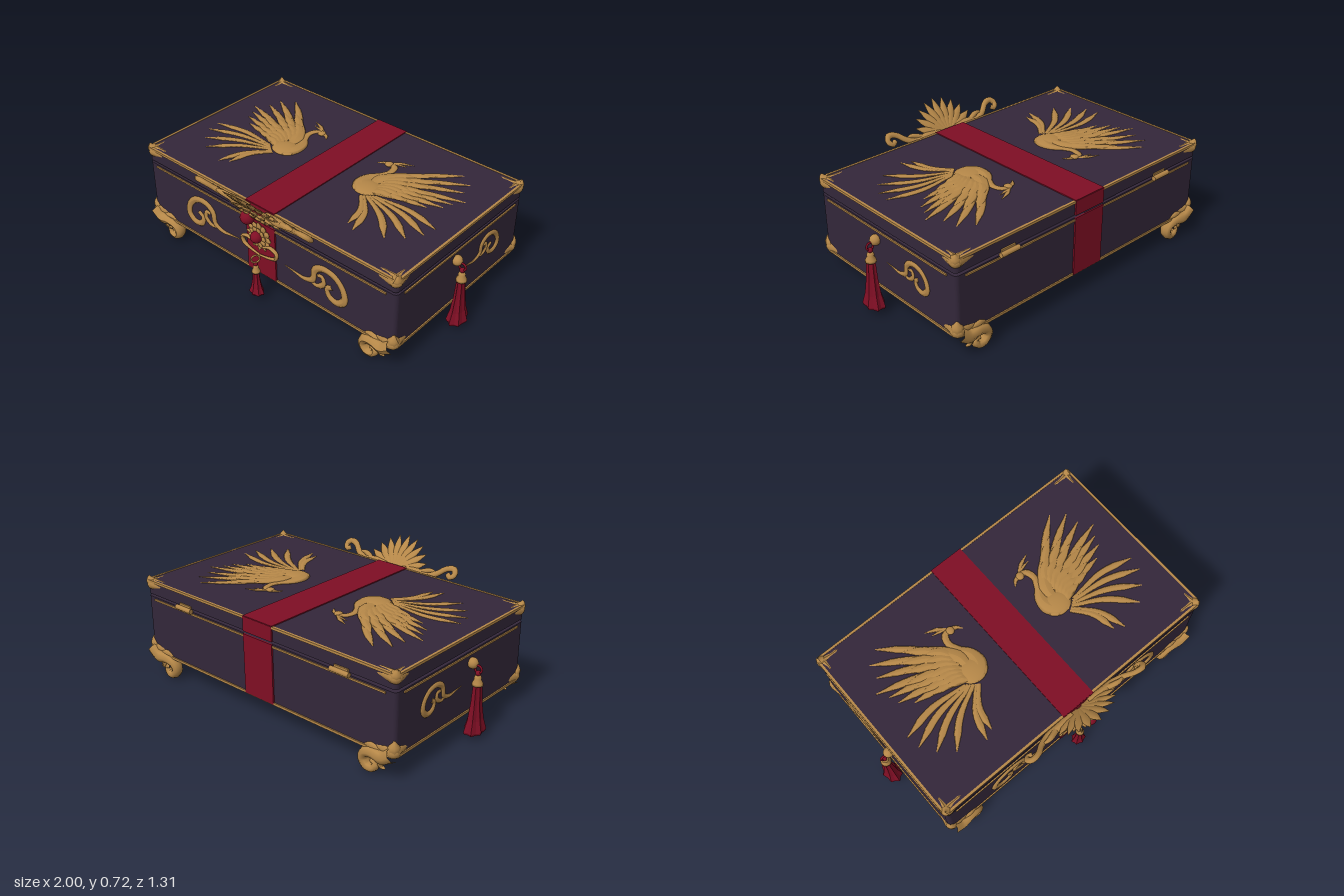
import * as THREE from 'three';

const material = (name, color) => {
  const m = new THREE.MeshStandardMaterial({ color });
  m.name = name;
  return m;
};

export function createModel() {
  const lacquer = material('dark plum lacquer', 0x33273a);
  const gold = material('antique gold', 0xb58748);
  const red = material('crimson silk', 0x7f0e24);
  const model = new THREE.Group();
  model.name = 'ornateBox';
  const W = 0.9, FRONT = 0.48, BACK = -0.62, MID = -0.07;

  function add(parent, name, geo, mat, x = 0, y = 0, z = 0) {
    const mesh = new THREE.Mesh(geo, mat);
    mesh.name = name;
    mesh.position.set(x, y, z);
    parent.add(mesh);
    return mesh;
  }
  function group(name, x = 0, y = 0, z = 0, parent = model) {
    const g = new THREE.Group();
    g.name = name;
    g.position.set(x, y, z);
    parent.add(g);
    return g;
  }
  const box = (parent, name, mat, w, h, d, x, y, z) =>
    add(parent, name, new THREE.BoxGeometry(w, h, d), mat, x, y, z);

  // Tapered tube through points; s mirrors x, flat squashes z, lift offsets z
  function sweep(parent, name, pts, radii, { s = 1, flat = 1, lift = 0, seg = 14, mat = gold } = {}) {
    const curve = new THREE.CatmullRomCurve3(pts.map(p => new THREE.Vector3(p[0] * s, p[1], p[2] || 0)));
    const geo = new THREE.TubeGeometry(curve, seg, 1, 8, false);
    const pos = geo.attributes.position, v = new THREE.Vector3();
    for (let i = 0; i <= seg; i++) {
      const c = curve.getPointAt(i / seg);
      const t = i / seg * (radii.length - 1), k = Math.min(Math.floor(t), radii.length - 2);
      const r = THREE.MathUtils.lerp(radii[k], radii[k + 1], t - k);
      for (let j = 0; j <= 8; j++) {
        const n = i * 9 + j;
        v.fromBufferAttribute(pos, n).sub(c).multiplyScalar(r).add(c);
        pos.setXYZ(n, v.x, v.y, v.z * flat);
      }
    }
    geo.computeVertexNormals();
    return add(parent, name, geo, mat, 0, 0, lift);
  }

  // Slabs with softened vertical corners
  function slab(name, y0, y1) {
    const r = 0.025, a = W - r, d = (FRONT - BACK) / 2, b = d - r;
    const sh = new THREE.Shape();
    sh.moveTo(-a, -d);
    sh.lineTo(a, -d); sh.absarc(a, -b, r, -Math.PI / 2, 0);
    sh.absarc(a, b, r, 0, Math.PI / 2);
    sh.absarc(-a, b, r, Math.PI / 2, Math.PI);
    sh.absarc(-a, -b, r, Math.PI, Math.PI * 1.5);
    const geo = new THREE.ExtrudeGeometry(sh, { depth: y1 - y0, bevelEnabled: false, curveSegments: 5 });
    geo.rotateX(-Math.PI / 2);
    add(model, name, geo, lacquer, 0, y0, MID);
  }
  slab('body', 0.13, 0.478);
  slab('lid', 0.493, 0.575);

  // Gold rails round all four faces
  for (const [name, y, inset, h] of [['baseRail', 0.135, 0.02, 0.014], ['bodyRail', 0.464, 0.06, 0.01], ['lidRail', 0.57, 0.02, 0.014]]) {
    for (const z of [FRONT, BACK]) box(model, name, gold, 2 * (W - inset), h, 0.014, 0, y, z);
    for (const x of [-W, W]) box(model, name, gold, 0.014, h, FRONT - BACK - 2 * inset, x, y, MID);
  }

  // Silk band over the lid, front and back
  box(model, 'bandTop', red, 0.21, 0.006, FRONT - BACK + 0.014, 0, 0.578, MID);
  for (const z of [FRONT + 0.005, BACK - 0.005]) {
    box(model, 'bandLid', red, 0.21, 0.085, 0.009, 0, 0.5355, z);
    box(model, 'bandBody', red, 0.21, 0.345, 0.009, 0, 0.3055, z);
  }

  // Hinges
  for (const x of [-0.57, 0.57]) {
    const barrel = new THREE.CylinderGeometry(0.014, 0.014, 0.12, 10).rotateZ(Math.PI / 2);
    add(model, 'hingeBarrel', barrel, gold, x, 0.486, BACK - 0.016);
    box(model, 'hingeLeaf', gold, 0.09, 0.045, 0.01, x, 0.486, BACK - 0.003);
  }

  // Corner mounts and scroll feet
  for (const sx of [-1, 1]) for (const sz of [-1, 1]) {
    const cx = 0.878, cz = sz > 0 ? FRONT - 0.022 : BACK + 0.022;
    const at = (dx, y, dz) => [cx - dx, y, cz - sz * dz];
    const opt = { s: sx, seg: 10 };
    const foot = group('foot'), cap = group('lidCorner');
    for (const [g, y, r] of [[foot, 0.155, 0.038], [cap, 0.548, 0.034]]) {
      add(g, 'cornerKnob', new THREE.SphereGeometry(r, 14, 10), gold, sx * cx, y, cz);
      const drop = y < 0.3 ? -0.012 : 0.014;
      sweep(g, 'cornerLeafSide', [at(0, y, 0), at(0.005, y, 0.06), at(0, y + drop, 0.13)], [r, r * 0.85, 0.004], opt);
      sweep(g, 'cornerLeafFront', [at(0, y, 0), at(0.07, y, 0.005), at(0.17, y + drop, 0)], [r, r * 0.85, 0.004], opt);
      const rise = y < 0.3 ? 0.068 : 0.05;
      sweep(g, 'cornerTip', [at(0, y, 0), at(-0.012, y + rise * 0.6, -0.012), at(-0.015, y + rise, -0.015)], [r, r * 0.75, 0.003], opt);
    }
    const scroll = [[0.89, 0.15], [0.835, 0.115], [0.775, 0.118], [0.72, 0.1], [0.703, 0.06], [0.728, 0.024], [0.772, 0.027], [0.782, 0.062], [0.755, 0.066]];
    const z = cz + sz * 0.012;
    sweep(foot, 'footScroll', scroll, [0.04, 0.04, 0.032, 0.026, 0.023, 0.014], { s: sx, flat: 1.3, lift: z, seg: 32 });
    sweep(foot, 'footClaw', [[0.86, 0.13], [0.815, 0.085], [0.815, 0.05], [0.84, 0.045]], [0.035, 0.03, 0.018, 0.004], { s: sx, lift: z });
    sweep(foot, 'footLeaf', [[0.83, 0.13], [0.76, 0.15], [0.69, 0.125]], [0.02, 0.024, 0.004], { s: sx, lift: z });
  }

  // Cloud scrolls on the front and side panels
  const cloudLine = [[0, -0.02], [0.07, -0.028], [0.14, -0.035], [0.2, -0.01], [0.215, 0.06], [0.27, 0.095], [0.35, 0.085],
    [0.405, 0.03], [0.415, -0.035], [0.37, -0.075], [0.315, -0.06], [0.3, -0.015], [0.335, 0.008]];
  function cloud(g, s) {
    sweep(g, 'cloudScroll', cloudLine, [0.002, 0.01, 0.018, 0.021, 0.02, 0.02, 0.023, 0.019, 0.014], { s, flat: 0.45, seg: 56 });
    sweep(g, 'cloudCurl', [[0.17, -0.02], [0.23, -0.035], [0.275, 0], [0.265, 0.04], [0.235, 0.035]], [0.004, 0.012, 0.016, 0.015, 0.01], { s, flat: 0.45, seg: 20 });
  }
  for (const s of [-1, 1]) {
    cloud(group('frontCloud', s * 0.165, 0.3, FRONT + 0.003), s);
    const side = group('sideCloud', s * (W + 0.003), 0.325, -0.085);
    side.rotation.y = s * Math.PI / 2;
    side.scale.setScalar(0.78);
    cloud(side, s);
  }

  // Phoenix reliefs on the lid, drawn in a plane and laid flat
  const tails = [[0.797, -0.04], [0.785, -0.12], [0.73, -0.2], [0.65, -0.267], [0.49, -0.32], [0.435, -0.29]];
  const wingTips = [[0.628, 0.46], [0.705, 0.405], [0.72, 0.325], [0.778, 0.255], [0.735, 0.195], [0.715, 0.14], [0.65, 0.085]];
  for (const s of [-1, 1]) {
    const bird = group('phoenix', 0, 0.576, 0);
    bird.rotation.x = -Math.PI / 2;
    const part = (name, pts, radii, lift, seg = 12) => sweep(bird, name, pts, radii, { s, flat: 0.3, lift, seg });
    const body = add(bird, 'phoenixBody', new THREE.SphereGeometry(1, 20, 12), gold, s * 0.3, 0.025, 0);
    body.scale.set(0.085, 0.072, 0.02);
    part('phoenixNeck', [[0.245, 0.28], [0.285, 0.28], [0.305, 0.23], [0.285, 0.165], [0.25, 0.1], [0.26, 0.03], [0.34, -0.03]],
      [0.017, 0.02, 0.019, 0.024, 0.035, 0.05, 0.05, 0.02], 0.003, 28);
    const head = add(bird, 'phoenixHead', new THREE.SphereGeometry(0.024, 12, 8), gold, s * 0.25, 0.28, 0.004);
    head.scale.z = 0.5;
    part('phoenixBeak', [[0.245, 0.283], [0.215, 0.275], [0.188, 0.247]], [0.016, 0.011, 0.002], 0.003);
    part('phoenixCrest', [[0.25, 0.295], [0.3, 0.33], [0.365, 0.358]], [0.004, 0.012, 0.002], 0.003);
    part('phoenixCrest', [[0.25, 0.295], [0.295, 0.31], [0.345, 0.32]], [0.004, 0.009, 0.002], 0.003);
    // Three overlapping rows of wing feathers
    for (const [row, reach, r] of [[0, 1, 0.023], [1, 0.66, 0.027], [2, 0.38, 0.028]]) {
      wingTips.forEach(([tx, ty], i) => {
        const k = i / 6, bx = 0.33 + 0.02 * k, by = 0.14 - 0.14 * k;
        const x = bx + (tx - bx) * reach, y = by + (ty - by) * reach;
        const mid = [(bx + x) / 2 - 0.012, (by + y) / 2 + 0.018];
        part('wingFeather', [[bx, by], mid, [x, y]], [0.012, r, r, r * 0.85, 0.003], 0.001 + row * 0.004);
      });
    }
    part('wingShoulder', [[0.44, 0.305], [0.37, 0.22], [0.31, 0.12], [0.31, 0.03]], [0.006, 0.032, 0.045, 0.02], 0.005);
    tails.forEach(([tx, ty], i) => {
      const bx = 0.35 + 0.012 * (3 - i), by = -0.015 - 0.008 * i;
      const mid = [(bx + tx) / 2 + 0.01 + 0.004 * i, (by + ty) / 2 + 0.03 - 0.004 * i];
      part('tailFeather', [[bx, by], mid, [tx, ty]], [0.012, 0.014, 0.019, 0.02, 0.003], 0.001 + 0.001 * (i % 2));
    });
  }

  // Radiating petals for the lotus ornaments
  function petals(parent, count, from, to, length, width, lift, cup, y = 0) {
    for (let i = 0; i < count; i++) {
      const a = from + (to - from) * i / (count - 1), L = length(a);
      const p = t => [Math.sin(a) * L * t, y + Math.cos(a) * L * t, cup * t * t / 0.4];
      sweep(parent, 'lotusPetal', [p(0.1), p(0.55), p(1)], [width * 0.4, width * 0.8, width, width * 0.8, 0.002], { flat: 0.4, lift, seg: 10 });
    }
  }
  const gem = (parent, r, y, z) => add(parent, 'gem', new THREE.SphereGeometry(r, 18, 12), red, 0, y, z);

  // Lotus crest leaning forward from the lid
  const crest = group('lidCrest', 0, 0.535, FRONT + 0.005);
  crest.rotation.x = 0.73;
  petals(crest, 13, -1.65, 1.65, a => 0.245 - 0.02 * Math.abs(a), 0.027, 0, 0, 0);
  petals(crest, 9, -1.7, 1.7, () => 0.165, 0.026, 0.018, 0.01, 0.01);
  petals(crest, 9, -2.4, 2.4, () => 0.085, 0.024, 0.03, 0.01, 0.045);
  gem(crest, 0.04, 0.08, 0.05);
  for (const s of [-1, 1]) {
    sweep(crest, 'crestScroll', [[0.06, 0.02], [0.15, 0.035], [0.23, 0.03], [0.29, 0.06], [0.34, 0.105], [0.385, 0.115], [0.405, 0.085], [0.385, 0.06], [0.36, 0.075]],
      [0.03, 0.028, 0.02, 0.018, 0.019, 0.015], { s, flat: 0.8, seg: 32 });
    sweep(crest, 'crestLeaf', [[0.17, 0.035], [0.25, 0.07], [0.3, 0.055]], [0.018, 0.016, 0.003], { s });
  }
  box(model, 'latchPlate', gold, 0.15, 0.022, 0.02, 0, 0.51, FRONT + 0.012);

  // Lotus clasp on the front of the body
  const clasp = group('clasp', 0, 0.395, FRONT + 0.012);
  const ring = Math.PI * 2;
  petals(clasp, 13, 0, ring, () => 0.092, 0.021, 0, 0.012);
  petals(clasp, 11, 0.2, ring + 0.2, () => 0.065, 0.019, 0.014, 0.01);
  gem(clasp, 0.034, 0.005, 0.028);
  for (const s of [-1, 1]) {
    sweep(clasp, 'claspTendril', [[0.03, -0.06], [0.08, -0.04], [0.125, -0.055], [0.12, -0.09], [0.08, -0.11], [0, -0.125]], [0.008, 0.011, 0.012, 0.008, 0.006], { s, seg: 22, lift: 0.01 });
  }

  // Tassels: bead, bell cap and fluted skirt hanging below a hook
  function tassel(name, x, z, top, r, rx, rz) {
    const g = group(name, x, 0, z);
    const capH = r * 0.85, capY = top;
    add(g, 'tasselBead', new THREE.SphereGeometry(r * 0.22, 12, 8), red, 0, capY + capH + r * 0.12, 0);
    const capLine = [[0.02, 1], [0.2, 0.95], [0.3, 0.7], [0.27, 0.55], [0.42, 0.2], [0.45, 0], [0.02, -0.02]];
    const capGeo = new THREE.LatheGeometry(capLine.map(p => new THREE.Vector2(p[0] * r, p[1] * capH)).reverse(), 14);
    add(g, 'tasselCap', capGeo, gold, 0, capY, 0);
    const h = top - 0.03;
    const line = [[0.01, 0], [0.92, 0], [1, 0.05], [0.72, 0.28], [0.52, 0.62], [0.4, 1]];
    let skirt = new THREE.LatheGeometry(line.map(p => new THREE.Vector2(p[0], p[1] * h)), 14);
    const pos = skirt.attributes.position;
    for (let i = 0; i < pos.count; i++) {
      const k = Math.floor(i / line.length) % 2 ? 0.82 : 1;
      pos.setXYZ(i, pos.getX(i) * rx * k, pos.getY(i), pos.getZ(i) * rz * k);
    }
    skirt = skirt.toNonIndexed();
    skirt.computeVertexNormals();
    add(g, 'tasselSkirt', skirt, red, 0, 0.03, 0);
    return g;
  }
  const frontTassel = tassel('frontTassel', 0, 0.535, 0.175, 0.055, 0.048, 0.038);
  add(frontTassel, 'tasselRing', new THREE.TorusGeometry(0.024, 0.005, 8, 20).rotateY(Math.PI / 3), gold, 0, 0.262, 0);
  for (const s of [-1, 1]) {
    const g = tassel('sideTassel', s * 0.947, -0.01, 0.3, 0.068, 0.053, 0.075);
    add(g, 'tasselKnob', new THREE.SphereGeometry(0.03, 14, 10), gold, -s * 0.035, 0.412, 0);
    add(g, 'tasselLoop', new THREE.TorusGeometry(0.02, 0.006, 8, 18), red, 0, 0.388, 0);
  }
  return model;
}
